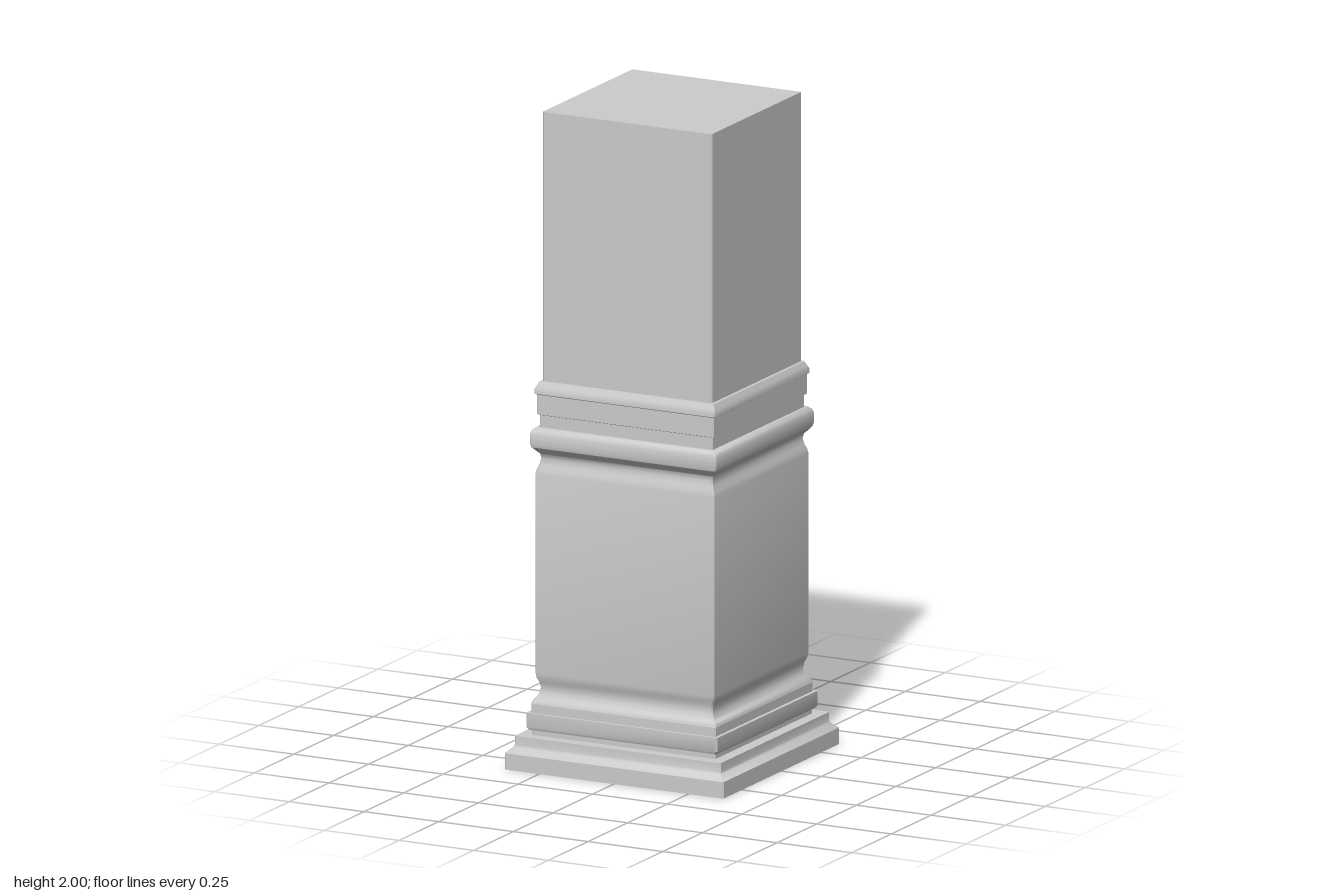
import * as THREE from 'three';
import { toCreasedNormals } from 'three/addons/utils/BufferGeometryUtils.js';

const material = new THREE.MeshStandardMaterial({ color: 0xcccccc, side: THREE.DoubleSide });

// Sweeps a [halfWidth, y] profile round a square with slightly chamfered corners.
function squareSweep(name, profile, capped = false) {
  const c = 0.004, pos = [], index = [];
  for (const [w, y] of profile) {
    const ring = [[w, w - c], [w - c, w], [c - w, w], [-w, w - c],
      [-w, c - w], [c - w, -w], [w - c, -w], [w, c - w]];
    for (const [x, z] of ring) pos.push(x, y, z);
  }
  for (let i = 0; i < profile.length - 1; i++) {
    for (let k = 0; k < 8; k++) {
      const a = i * 8 + k, b = i * 8 + (k + 1) % 8;
      index.push(a, a + 8, b, b, a + 8, b + 8);
    }
  }
  if (capped) {
    const t = (profile.length - 1) * 8;
    for (let k = 1; k < 7; k++) {
      index.push(0, k, k + 1);
      index.push(t, t + k + 1, t + k);
    }
  }
  const geometry = new THREE.BufferGeometry();
  geometry.setAttribute('position', new THREE.Float32BufferAttribute(pos, 3));
  geometry.setIndex(index);
  const mesh = new THREE.Mesh(toCreasedNormals(geometry, 0.6), material);
  mesh.name = name;
  return mesh;
}

export function createModel() {
  const group = new THREE.Group();
  group.name = 'squareColumn';

  // Solid square post running the full height
  group.add(squareSweep('shaft', [[0.283, 0], [0.283, 2]], true));

  // Stepped plinth, open underneath
  group.add(squareSweep('plinth', [
    [0.367, 0], [0.367, 0.05], [0.36, 0.056], [0.347, 0.068], [0.345, 0.074],
    [0.345, 0.1], [0.308, 0.1],
  ]));

  // Base bead and fillet
  group.add(squareSweep('baseMoulding', [
    [0.308, 0.1], [0.308, 0.115], [0.316, 0.117], [0.32, 0.125], [0.32, 0.168], [0.309, 0.168],
    [0.309, 0.195],
  ]));

  // Casing panel with a cove at each end
  group.add(squareSweep('casing', [
    [0.309, 0.195], [0.306, 0.205], [0.297, 0.215], [0.29, 0.228], [0.288, 0.242],
    [0.291, 0.258], [0.297, 0.272], [0.3, 0.288],
    [0.3, 0.895], [0.297, 0.91], [0.291, 0.925], [0.287, 0.942], [0.29, 0.957],
    [0.3, 0.967], [0.309, 0.978],
  ]));

  // Collar bead, stepped band and sloping cap
  group.add(squareSweep('collar', [
    [0.309, 0.978], [0.312, 0.99], [0.312, 1.018], [0.308, 1.03], [0.299, 1.038], [0.29, 1.038],
    [0.29, 1.075], [0.297, 1.078], [0.297, 1.138], [0.302, 1.141], [0.302, 1.155],
    [0.297, 1.165], [0.291, 1.177], [0.283, 1.178],
  ]));

  return group;
}
